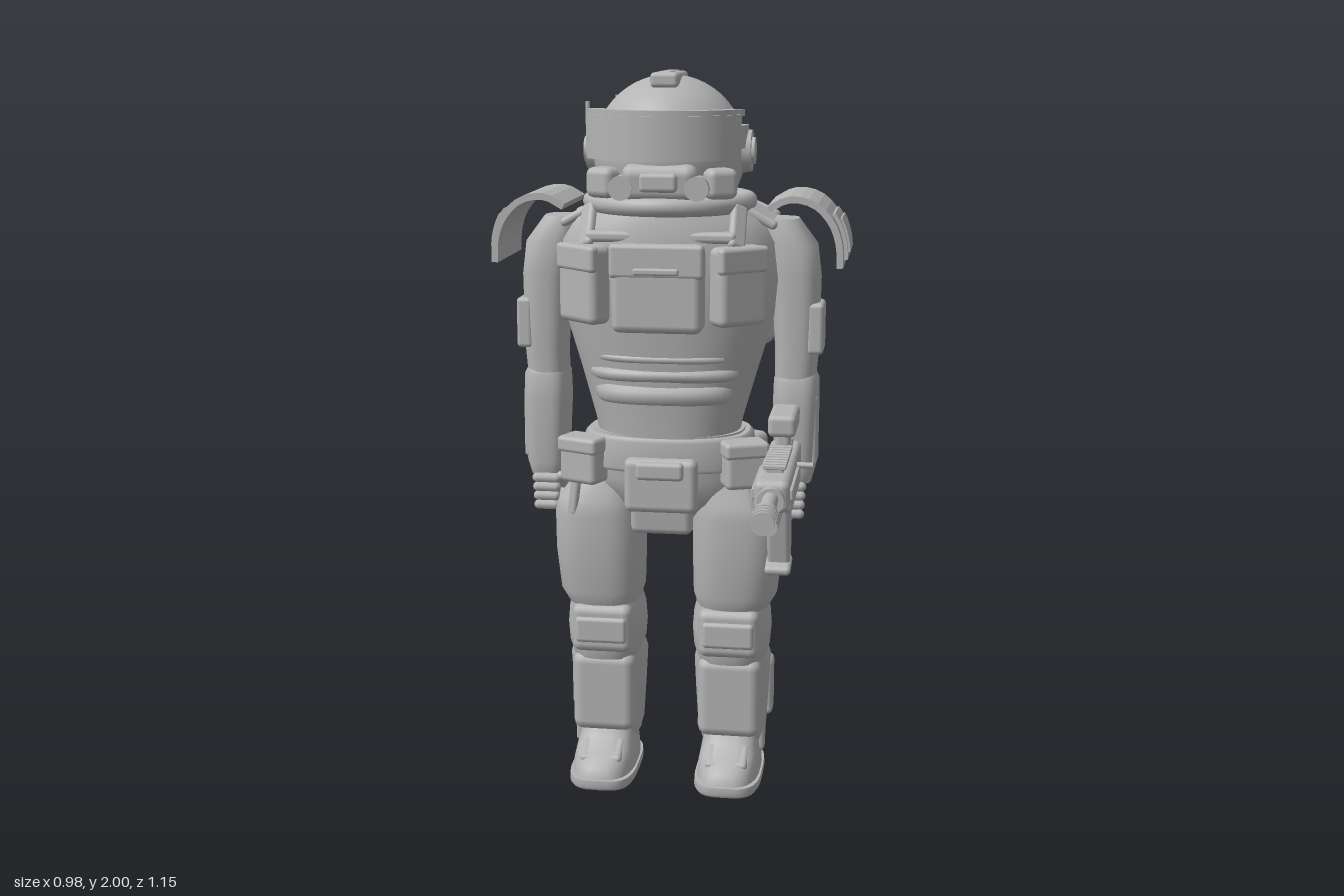
import * as THREE from 'three';
import { RoundedBoxGeometry } from 'three/addons/geometries/RoundedBoxGeometry.js';

const grey = new THREE.MeshStandardMaterial({ color: 0xb4b4b4 });
grey.name = 'plain grey';

// Stack of rounded cross-sections [y, cx, cz, rx, rz], listed upwards
function loft(rings, power = 2.4, n = 36) {
  const pos = [], idx = [];
  const point = (r, j) => {
    const a = (j / n) * Math.PI * 2, c = Math.cos(a), s = Math.sin(a), e = 2 / power;
    pos.push(r[1] + Math.sign(c) * Math.abs(c) ** e * r[3], r[0], r[2] + Math.sign(s) * Math.abs(s) ** e * r[4]);
  };
  rings.forEach((r) => { for (let j = 0; j < n; j++) point(r, j); });
  for (let i = 0; i < rings.length - 1; i++) for (let j = 0; j < n; j++) {
    const a = i * n + j, b = i * n + (j + 1) % n;
    idx.push(a, a + n, b, b, a + n, b + n);
  }
  // end caps have their own vertices so the rim stays sharp
  [rings[0], rings[rings.length - 1]].forEach((r, k) => {
    const base = pos.length / 3;
    pos.push(r[1], r[0], r[2]);
    for (let j = 0; j < n; j++) point(r, j);
    for (let j = 0; j < n; j++) {
      const p = base + 1 + j, q = base + 1 + (j + 1) % n;
      if (k) idx.push(base, q, p); else idx.push(base, p, q);
    }
  });
  const g = new THREE.BufferGeometry();
  g.setAttribute('position', new THREE.Float32BufferAttribute(pos, 3));
  g.setIndex(idx);
  g.computeVertexNormals();
  return g;
}

export function createModel() {
  const model = new THREE.Group();
  model.name = 'armouredSoldier';
  let parent = model;
  const group = (name) => {
    parent = new THREE.Group();
    parent.name = name;
    model.add(parent);
  };
  const add = (name, geo, p = [0, 0, 0], r = [0, 0, 0]) => {
    const m = new THREE.Mesh(geo, grey);
    m.name = name;
    m.position.set(...p);
    m.rotation.set(...r);
    parent.add(m);
    return m;
  };
  const box = (name, w, h, d, p, r, rad = 0.012) =>
    add(name, new RoundedBoxGeometry(w, h, d, 2, Math.min(rad, w / 2.1, h / 2.1, d / 2.1)), p, r);
  const cyl = (name, r1, r2, h, p, r) => add(name, new THREE.CylinderGeometry(r1, r2, h, 24), p, r);
  const X = [0, 0, Math.PI / 2], Z = [Math.PI / 2, 0, 0];

  // Helmet, visor and breathing mask
  group('head');
  add('helmet', new THREE.SphereGeometry(0.205, 40, 28, 0, Math.PI * 2, 0, Math.PI * 0.7), [0, 1.785, -0.18]);
  add('neck', loft([[1.58, 0, -0.19, 0.17, 0.17], [1.66, 0, -0.18, 0.165, 0.165], [1.71, 0, -0.17, 0.155, 0.155]], 2));
  add('collar', new THREE.TorusGeometry(0.212, 0.025, 12, 48), [0, 1.655, -0.19], Z);
  box('crest', 0.075, 0.04, 0.21, [0, 1.977, -0.17]);
  box('crestRidge', 0.035, 0.02, 0.18, [0, 1.99, -0.17], undefined, 0.006);
  const band = (name, r0, r1, half, y, h) => {
    const s = new THREE.Shape(), m = -Math.PI / 2;
    s.absarc(0, 0, r1, m - half, m + half, false);
    s.absarc(0, 0, r0, m + half, m - half, true);
    const g = new THREE.ExtrudeGeometry(s, { depth: h, bevelEnabled: false, curveSegments: 28 });
    add(name, g.rotateX(-Math.PI / 2), [0, y, -0.17]);
  };
  band('visor', 0.17, 0.23, 1.1, 1.775, 0.115);
  band('visorRim', 0.18, 0.221, 1.25, 1.885, 0.018);
  band('visorStrap', 0.19, 0.213, 1.6, 1.80, 0.06);
  box('mask', 0.2, 0.1, 0.11, [0, 1.72, -0.02], [0.1, 0, 0], 0.03);
  box('maskFront', 0.1, 0.05, 0.03, [0, 1.72, 0.035]);
  for (const s of [1, -1]) {
    box('respirator', 0.085, 0.08, 0.1, [s * 0.145, 1.715, -0.04], [0, s * 0.5, 0], 0.02);
    cyl('filter', 0.032, 0.032, 0.05, [s * 0.1, 1.705, 0.015], Z);
    cyl('earCup', 0.055, 0.06, 0.035, [s * 0.205, 1.79, -0.185], [0, 0, -s * Math.PI / 2]);
    cyl('earCupCap', 0.036, 0.036, 0.012, [s * 0.225, 1.79, -0.185], X);
  }
  cyl('headsetAerial', 0.006, 0.006, 0.12, [-0.212, 1.86, -0.12]);

  // Body armour and chest rig
  group('torso');
  add('chestArmour', loft([
    [0.98, 0, -0.19, 0.19, 0.155], [1.06, 0, -0.195, 0.205, 0.165], [1.2, 0, -0.2, 0.245, 0.185],
    [1.35, 0, -0.2, 0.29, 0.205], [1.45, 0, -0.2, 0.305, 0.215], [1.55, 0, -0.2, 0.295, 0.215],
    [1.61, 0, -0.2, 0.255, 0.205], [1.645, 0, -0.195, 0.2, 0.19]], 2.3, 48));
  box('chestPouch', 0.24, 0.23, 0.1, [0, 1.445, 0.03], undefined, 0.022);
  box('chestPouchFlap', 0.25, 0.09, 0.035, [0, 1.52, 0.065]);
  box('chestPouchTab', 0.12, 0.018, 0.02, [0, 1.495, 0.083], undefined, 0.006);
  box('chestHarness', 0.4, 0.03, 0.05, [0, 1.575, -0.02]);
  for (const [y, w, h] of [[1.245, 0.38, 0.025], [1.2, 0.4, 0.035], [1.145, 0.37, 0.05]])
    add('abdomenPlate', loft([[y - h / 2, 0, -0.14, w / 2, 0.12], [y - h / 4, 0, -0.14, w / 2 + 0.01, 0.135],
      [y + h / 4, 0, -0.14, w / 2 + 0.01, 0.135], [y + h / 2, 0, -0.14, w / 2, 0.12]], 2.8));
  for (const s of [1, -1]) {
    box('sidePouch', 0.15, 0.21, 0.07, [s * 0.205, 1.45, -0.01], [0, s * 0.72, 0], 0.02);
    box('sidePouchFlap', 0.155, 0.07, 0.03, [s * 0.22, 1.52, 0.01], [0, s * 0.72, 0]);
    box('frontStrap', 0.05, 0.13, 0.025, [s * 0.2, 1.6, -0.04], [-0.6, s * 0.75, 0]);
    box('rearStrap', 0.17, 0.03, 0.055, [s * 0.21, 1.625, -0.365], [0, -s * 0.6, -s * 0.3]);
    box('shoulderStrap', 0.1, 0.025, 0.18, [s * 0.25, 1.615, -0.22], [0, 0, -s * 0.5]);
  }

  // Backpack with side rolls, valves and aerial
  group('backpack');
  add('packBody', loft([[1.19, 0, -0.45, 0.14, 0.06], [1.23, 0, -0.48, 0.175, 0.08], [1.4, 0, -0.485, 0.185, 0.085],
    [1.58, 0, -0.475, 0.185, 0.075], [1.62, 0, -0.46, 0.18, 0.06], [1.645, 0, -0.45, 0.16, 0.04]], 4.5, 48));
  box('packMount', 0.26, 0.32, 0.08, [0, 1.42, -0.4]);
  box('packPanel', 0.085, 0.14, 0.012, [0, 1.41, -0.567], undefined, 0.005);
  box('packLid', 0.34, 0.025, 0.13, [0, 1.605, -0.475]);
  for (const s of [1, -1]) {
    box('packSideRoll', 0.09, 0.38, 0.125, [s * 0.222, 1.405, -0.502], undefined, 0.035);
    box('packRollStrap', 0.096, 0.025, 0.131, [s * 0.222, 1.51, -0.502]);
    cyl('packBottle', 0.045, 0.045, 0.36, [s * 0.14, 1.4, -0.525]);
    cyl('packValve', 0.045, 0.035, 0.08, [s * 0.12, 1.185, -0.51], [0.35, 0, 0]);
  }
  cyl('aerialBase', 0.014, 0.02, 0.07, [-0.19, 1.66, -0.455]);
  cyl('aerial', 0.004, 0.007, 0.28, [-0.195, 1.785, -0.468], [-0.08, 0, 0]);

  // Arms with curved shoulder plates
  const padCurve = new THREE.CatmullRomCurve3([[0.28, 1.635], [0.33, 1.66], [0.39, 1.65], [0.435, 1.605], [0.455, 1.55], [0.458, 1.49]]
    .map(([x, y]) => new THREE.Vector3(x, y, 0)));
  for (const s of [1, -1]) {
    group(s > 0 ? 'leftArm' : 'rightArm');
    const pad = (name, t0, t1, off, thick, z0, z1) => {
      const outer = [], inner = [];
      for (let i = 0; i <= 14; i++) {
        const t = t0 + (t1 - t0) * i / 14, p = padCurve.getPoint(t), d = padCurve.getTangent(t);
        outer.push(new THREE.Vector2(s * (p.x - d.y * (off + thick)), p.y + d.x * (off + thick)));
        inner.push(new THREE.Vector2(s * (p.x - d.y * off), p.y + d.x * off));
      }
      const shape = new THREE.Shape([...outer, ...inner.reverse()]);
      add(name, new THREE.ExtrudeGeometry(shape, { depth: z1 - z0, bevelEnabled: false }), [0, 0, z0]);
    };
    pad('shoulderPlate', 0, 1, 0, 0.018, -0.38, -0.085);
    pad('shoulderPlateFrame', 0.56, 0.94, 0.018, 0.01, -0.335, -0.13);
    pad('shoulderPlatePanel', 0.62, 0.88, 0.028, 0.006, -0.315, -0.15);
    add('upperArm', loft([[1.13, s * 0.345, -0.215, 0.055, 0.065], [1.25, s * 0.35, -0.215, 0.06, 0.07],
      [1.45, s * 0.345, -0.215, 0.068, 0.078], [1.54, s * 0.33, -0.215, 0.072, 0.08], [1.61, s * 0.3, -0.215, 0.05, 0.06]], 2.6));
    box('armPlate', 0.045, 0.14, 0.115, [s * 0.402, 1.315, -0.205]);
    add('forearm', loft([[0.88, s * 0.35, -0.215, 0.046, 0.058], [0.92, s * 0.35, -0.215, 0.057, 0.07],
      [1.1, s * 0.35, -0.22, 0.064, 0.08], [1.17, s * 0.35, -0.22, 0.062, 0.076], [1.19, s * 0.35, -0.22, 0.052, 0.064]], 3));
    box('bracer', 0.04, 0.2, 0.1, [s * 0.392, 1.03, -0.215]);
    box('elbowPad', 0.09, 0.12, 0.03, [s * 0.35, 1.17, -0.29]);
    box('palm', 0.06, 0.11, 0.08, [s * 0.345, 0.845, -0.2], undefined, 0.02);
    for (let i = 0; i < 4; i++)
      add('finger', new THREE.CapsuleGeometry(0.014, 0.055 - i * 0.003, 4, 10), [s * 0.345, 0.875 - i * 0.026, -0.15], X);
    add('thumb', new THREE.CapsuleGeometry(0.014, 0.05, 4, 10), [s * 0.305, 0.865, -0.175], [0.9, 0, 0]);
  }

  // Hips, belt and belt pouches
  group('hips');
  add('pelvis', loft([[0.77, 0, -0.19, 0.07, 0.08], [0.83, 0, -0.195, 0.19, 0.13], [0.9, 0, -0.195, 0.235, 0.15],
    [1.03, 0, -0.19, 0.21, 0.155]], 2.4));
  add('belt', loft([[0.93, 0, -0.19, 0.235, 0.165], [0.94, 0, -0.19, 0.245, 0.173], [1.015, 0, -0.19, 0.235, 0.173],
    [1.025, 0, -0.19, 0.225, 0.165]], 2.5));
  box('groinPouch', 0.2, 0.15, 0.06, [0, 0.9, -0.02], undefined, 0.02);
  box('groinFlap', 0.17, 0.13, 0.05, [0, 0.825, -0.03], [0.12, 0, 0], 0.02);
  box('groinPouchLid', 0.13, 0.05, 0.03, [0, 0.945, 0.01]);
  box('rearPouch', 0.17, 0.11, 0.08, [0.09, 0.95, -0.385], undefined, 0.02);
  box('rearPouchLid', 0.18, 0.04, 0.09, [0.09, 0.99, -0.385]);
  for (const x of [-0.04, -0.09]) {
    cyl('grenade', 0.022, 0.022, 0.08, [x, 0.96, -0.385]);
    cyl('grenadeCap', 0.013, 0.016, 0.03, [x, 1.01, -0.385]);
  }
  for (const s of [1, -1]) {
    box('frontBeltPouch', 0.115, 0.115, 0.08, [s * 0.22, 0.95, -0.06], [0, s * 0.4, 0], 0.015);
    box('frontBeltPouchLid', 0.125, 0.045, 0.09, [s * 0.22, 1.0, -0.06], [0, s * 0.4, 0]);
    box('rearHipPouch', 0.11, 0.13, 0.08, [s * 0.2, 0.92, -0.35], [0, -s * 0.5, 0], 0.02);
    box('hipStrap', 0.03, 0.14, 0.02, [s * 0.25, 0.86, -0.075], [0, s * 0.5, s * 0.15]);
  }

  // Legs and boots
  for (const s of [1, -1]) {
    group(s > 0 ? 'leftLeg' : 'rightLeg');
    const x = s * 0.18;
    add('thigh', loft([[0.52, s * 0.185, -0.19, 0.1, 0.1], [0.56, s * 0.19, -0.19, 0.118, 0.115], [0.68, s * 0.195, -0.19, 0.126, 0.125],
      [0.79, s * 0.195, -0.19, 0.127, 0.13], [0.83, s * 0.19, -0.19, 0.12, 0.122], [0.9, s * 0.16, -0.19, 0.09, 0.1]], 2.7));
    add('knee', loft([[0.36, x, -0.2, 0.095, 0.105], [0.4, x, -0.2, 0.108, 0.115], [0.45, x, -0.2, 0.112, 0.115],
      [0.5, x, -0.2, 0.108, 0.112], [0.55, x, -0.19, 0.095, 0.1]], 2.5));
    add('lowerLeg', loft([[0.1, x, -0.225, 0.085, 0.085], [0.14, x, -0.225, 0.098, 0.088], [0.26, x, -0.225, 0.105, 0.1],
      [0.35, x, -0.225, 0.109, 0.115], [0.38, x, -0.22, 0.1, 0.11]], 2.6));
    box('shinGuard', 0.18, 0.235, 0.08, [x, 0.255, -0.14], undefined, 0.03);
    box('kneePad', 0.17, 0.14, 0.07, [x, 0.455, -0.11], undefined, 0.025);
    box('kneePadPlate', 0.145, 0.075, 0.03, [x, 0.455, -0.08]);
    box('calfPlate', 0.04, 0.17, 0.075, [s * 0.275, 0.25, -0.265], undefined, 0.015);
    box('thighPlate', 0.04, 0.24, 0.11, [s * 0.3, 0.72, -0.235], undefined, 0.018);
    add('bootSole', loft([[0, x, -0.165, 0.09, 0.163], [0.01, x, -0.165, 0.096, 0.17], [0.03, x, -0.165, 0.095, 0.168]], 3.5));
    add('boot', loft([[0.025, x, -0.167, 0.09, 0.162], [0.06, x, -0.172, 0.088, 0.158], [0.09, x, -0.19, 0.083, 0.14],
      [0.115, x, -0.22, 0.08, 0.108], [0.16, x, -0.227, 0.082, 0.092]], 2.8));
    box('toeCap', 0.12, 0.025, 0.09, [x, 0.088, -0.085], [0.38, 0, 0]);
    cyl('ankleStrap', 0.088, 0.092, 0.025, [x, 0.125, -0.225]);
    box('heelGuard', 0.1, 0.05, 0.035, [x, 0.055, -0.325]);
    box('ankleGuard', 0.03, 0.08, 0.05, [s * 0.262, 0.11, -0.21]);
  }

  // Rifle carried in the left hand
  group('rifle');
  const gx = 0.328;
  cyl('muzzleBrake', 0.029, 0.029, 0.1, [gx, 0.97, 0.527], Z);
  for (const z of [0.51, 0.535, 0.56]) cyl('muzzleRing', 0.032, 0.032, 0.012, [gx, 0.97, z], Z);
  cyl('barrel', 0.02, 0.02, 0.17, [gx, 0.97, 0.4], Z);
  cyl('barrelCollar', 0.034, 0.034, 0.04, [gx, 0.965, 0.335], Z);
  box('handguard', 0.09, 0.085, 0.3, [gx, 0.968, 0.18], undefined, 0.02);
  for (const s of [1, -1]) box('handguardRail', 0.012, 0.03, 0.24, [gx + s * 0.047, 0.97, 0.18], undefined, 0.004);
  cyl('underBarrel', 0.024, 0.024, 0.25, [gx, 0.915, 0.285], Z);
  box('receiver', 0.085, 0.125, 0.32, [gx, 0.945, 0.005], undefined, 0.015);
  box('topRail', 0.045, 0.02, 0.36, [gx, 1.012, 0.06], undefined, 0.004);
  for (let i = 0; i < 9; i++) box('railTooth', 0.06, 0.012, 0.014, [gx, 1.024, 0.235 - i * 0.027], undefined, 0.003);
  box('sightMount', 0.04, 0.06, 0.08, [gx, 1.035, -0.06]);
  box('sight', 0.075, 0.06, 0.17, [gx, 1.08, -0.065], undefined, 0.015);
  cyl('chargingHandle', 0.008, 0.008, 0.07, [0.38, 0.985, 0.045], X);
  box('magazine', 0.06, 0.2, 0.08, [gx, 0.8, 0.04], [0.22, 0, 0]);
  box('magazineFoot', 0.07, 0.025, 0.09, [gx, 0.71, 0.05], [0.22, 0, 0]);
  box('pistolGrip', 0.045, 0.13, 0.06, [gx, 0.84, -0.16], [0.3, 0, 0]);
  box('stockTube', 0.055, 0.08, 0.18, [gx, 0.96, -0.23]);
  box('stock', 0.07, 0.15, 0.15, [gx, 0.945, -0.36], [-0.05, 0, 0], 0.015);
  box('buttPad', 0.08, 0.19, 0.03, [gx, 0.94, -0.44]);
  cyl('stockRoll', 0.03, 0.03, 0.12, [gx, 1.01, -0.38], Z);
  return model;
}
